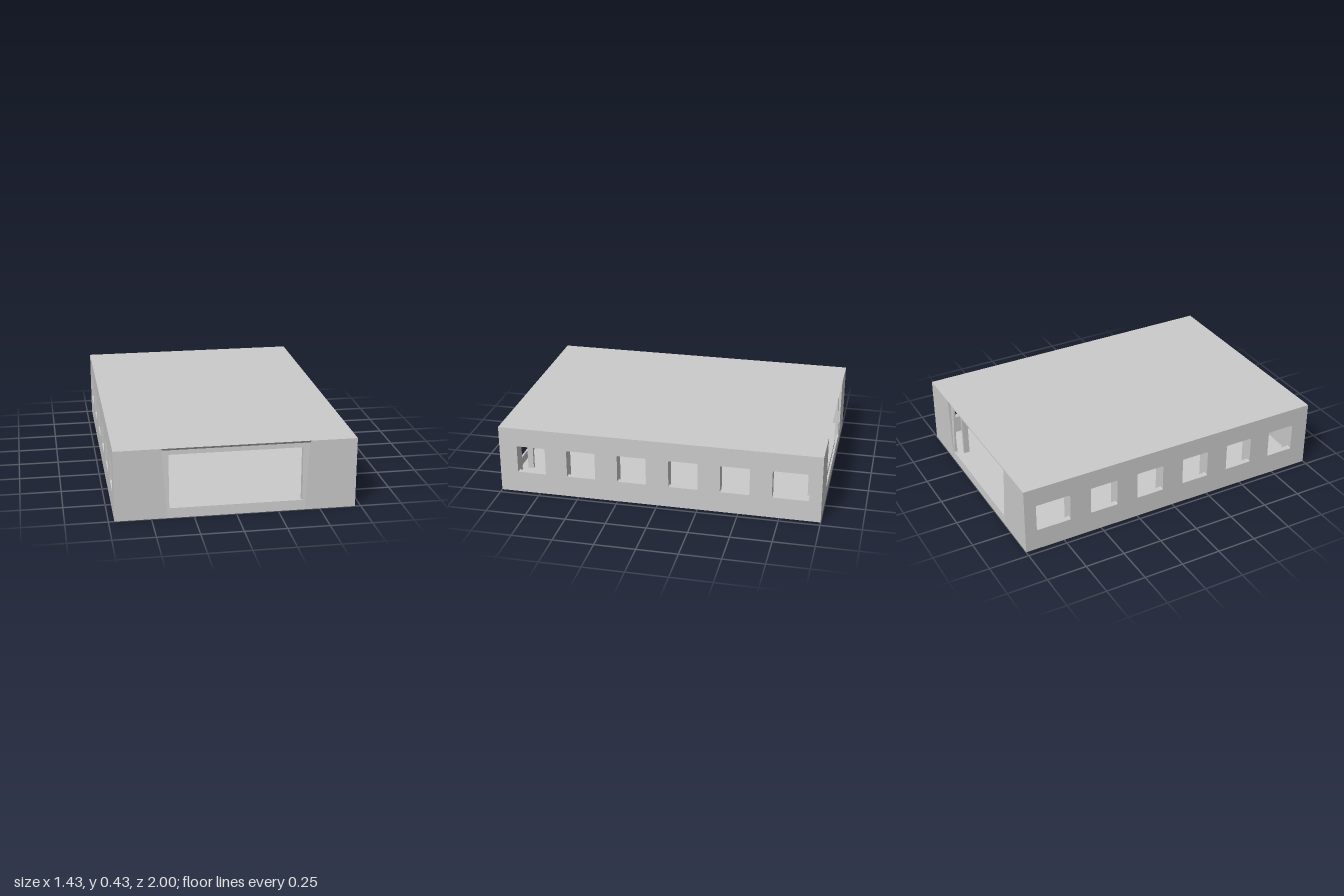
import * as THREE from 'three';

const W = 0.715, H = 0.43, L = 1, T = 0.035;
const grey = new THREE.MeshStandardMaterial({ color: 0xcccccc, flatShading: true });

function add(parent, name, geometry, x = 0, y = 0, z = 0) {
  const mesh = new THREE.Mesh(geometry, grey);
  mesh.name = name;
  mesh.position.set(x, y, z);
  parent.add(mesh);
  return mesh;
}
const box = (w, h, d) => new THREE.BoxGeometry(w, h, d);

// Draws a rectangle with slightly rounded corners into a shape or path.
function roundedRect(path, x0, y0, x1, y1, r) {
  path.moveTo(x0 + r, y0);
  path.lineTo(x1 - r, y0).quadraticCurveTo(x1, y0, x1, y0 + r);
  path.lineTo(x1, y1 - r).quadraticCurveTo(x1, y1, x1 - r, y1);
  path.lineTo(x0 + r, y1).quadraticCurveTo(x0, y1, x0, y1 - r);
  path.lineTo(x0, y0 + r).quadraticCurveTo(x0, y0, x0 + r, y0);
  return path;
}
function polygon(points) {
  return new THREE.Shape(points.map(([x, y]) => new THREE.Vector2(x, y)));
}
const extrude = (shape, depth) =>
  new THREE.ExtrudeGeometry(shape, { depth, bevelEnabled: false, curveSegments: 6 });

// Window spans along z; the rearmost one is wider
const windows = [0.797, 0.48, 0.16, -0.16, -0.477].map(c => [c - 0.09, c + 0.09]);
windows.push([-0.925, -0.703]);

// Long wall with a row of windows, outer face at local x = 0
function sideWallGeometry() {
  const shape = polygon([[-0.97, 0], [0.97, 0], [0.97, H], [-0.97, H]]);
  for (const [a, b] of windows) {
    shape.holes.push(roundedRect(new THREE.Path(), a, 0.135, b, 0.31, 0.008));
  }
  return extrude(shape, T).rotateY(-Math.PI / 2);
}

// End wall: flanking blocks, leaning recessed door surround and sloped soffit
function endWall(name) {
  const wall = new THREE.Group();
  wall.name = name;
  for (const s of [-1, 1]) {
    const flank = polygon([[s * 0.41, 0], [s * W, 0], [s * W, H], [s * 0.437, H], [s * 0.437, 0.41]]);
    add(wall, 'flankWall', extrude(flank, 0.03), 0, 0, L - 0.03);
  }
  const surround = polygon([[-0.437, 0], [0.437, 0], [0.437, 0.415], [-0.437, 0.415]]);
  surround.holes.push(roundedRect(new THREE.Path(), -0.395, 0.06, 0.395, 0.385, 0.005));
  const geo = extrude(surround, 0.012);
  const p = geo.attributes.position;
  for (let i = 0; i < p.count; i++) p.setZ(i, p.getZ(i) - 0.02 * p.getY(i) / 0.41);
  geo.computeVertexNormals();
  add(wall, 'doorSurround', geo, 0, 0, L - 0.0125);

  const wedge = polygon([[-L, H], [-0.965, H], [-0.965, 0.41], [-0.977, 0.41]]);
  add(wall, 'doorSoffit', extrude(wedge, 0.874).rotateY(Math.PI / 2), -0.437, 0, 0);
  return wall;
}

// Door guide: upright behind the jamb, a curved bend and a run under the roof
function doorTracks(end) {
  const tracks = new THREE.Group();
  tracks.name = 'doorTracks';
  for (const s of [-1, 1]) {
    const track = new THREE.Shape();
    track.moveTo(0.925, 0.02);
    track.lineTo(0.925, 0.36).quadraticCurveTo(0.925, 0.41, 0.875, 0.41);
    track.lineTo(0.6, 0.41).lineTo(0.6, 0.388).lineTo(0.865, 0.388);
    track.quadraticCurveTo(0.888, 0.388, 0.888, 0.36).lineTo(0.888, 0.02);
    const geo = extrude(track, 0.02).rotateY(-Math.PI / 2);
    add(tracks, 'doorTrack', geo, s * 0.42 + 0.01);
  }
  if (end < 0) tracks.rotation.y = Math.PI;
  return tracks;
}

export function createModel() {
  const model = new THREE.Group();
  model.name = 'hall';

  // Floor and roof slabs
  add(model, 'floor', box(2 * W - 0.002, 0.02, 1.95), 0, 0.01);
  add(model, 'roof', box(2 * W - 0.002, 0.02, 1.94), 0, H - 0.01);

  // Window walls
  add(model, 'leftWall', sideWallGeometry(), W);
  add(model, 'rightWall', sideWallGeometry(), -W + T);

  // Matching open ends
  model.add(endWall('frontWall'));
  const back = endWall('backWall');
  back.rotation.y = Math.PI;
  model.add(back);
  model.add(doorTracks(1), doorTracks(-1));

  // Wall ribs beside each window, rounded at the inner top corner
  for (const s of [-1, 1]) {
    for (const [, z] of windows) {
      const rib = new THREE.Shape();
      rib.moveTo(s * 0.69, 0.02);
      rib.lineTo(s * 0.62, 0.02).lineTo(s * 0.62, 0.26);
      rib.quadraticCurveTo(s * 0.62, 0.31, s * 0.67, 0.32).lineTo(s * 0.69, 0.32);
      add(model, 'wallRib', extrude(rib, 0.025), 0, 0, z + 0.005);
    }
  }

  // Ceiling beam with the hanging trolley
  const hoist = new THREE.Group();
  hoist.name = 'ceilingHoist';
  add(hoist, 'crossBeam', box(0.54, 0.01, 0.03), 0, 0.384);
  add(hoist, 'beamHanger', box(0.03, 0.03, 0.03), 0, 0.401);
  add(hoist, 'trolleyPlate', box(0.1, 0.008, 0.1), 0, 0.35);
  add(hoist, 'trolleyStem', box(0.02, 0.03, 0.05), 0, 0.366);
  for (const s of [-1, 1]) add(hoist, 'trolleyArm', box(0.008, 0.03, 0.06), s * 0.04, 0.366);
  model.add(hoist);

  return model;
}
